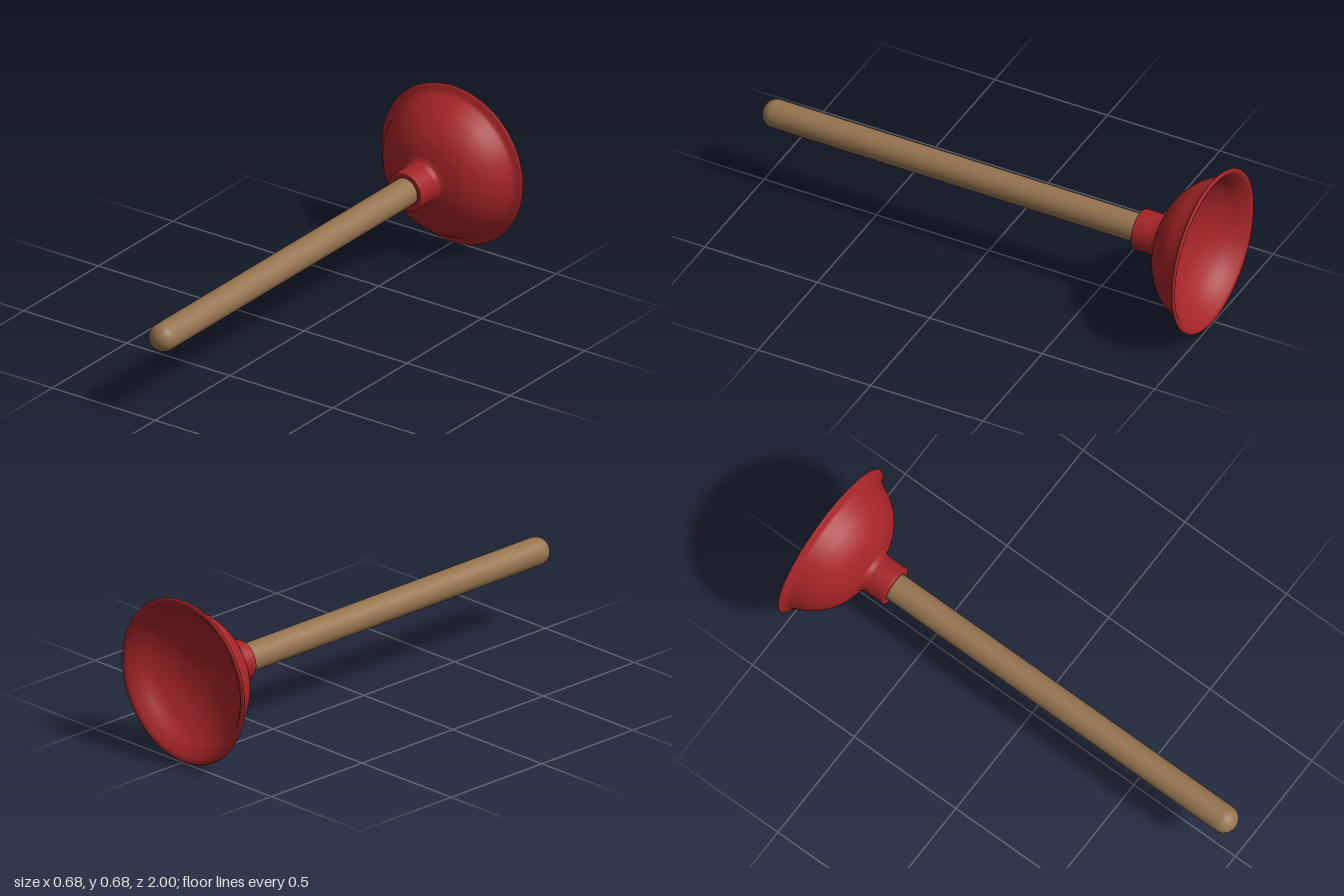
import * as THREE from 'three';

const AXIS_Y = 0.342; // height of the common axis

// Revolve [radius, z] points around the z axis
function revolve(name, points, material) {
  const profile = points.map(([r, z]) => new THREE.Vector2(r, z));
  const geometry = new THREE.LatheGeometry(profile, 72);
  geometry.rotateX(Math.PI / 2);
  const mesh = new THREE.Mesh(geometry, material);
  mesh.name = name;
  mesh.position.y = AXIS_Y;
  return mesh;
}

// Smooth curve through a few [radius, z] points
function smooth(points, steps) {
  const curve = new THREE.SplineCurve(points.map(([r, z]) => new THREE.Vector2(r, z)));
  return curve.getPoints(steps).map((p) => [p.x, p.y]);
}

export function createModel() {
  const rubber = new THREE.MeshStandardMaterial({ color: 0xa52427 });
  rubber.name = 'red rubber';
  const wood = new THREE.MeshStandardMaterial({ color: 0x96744f });
  wood.name = 'brown wood';

  const group = new THREE.Group();
  group.name = 'plunger';

  // Hollow cup: inside of the bowl, rounded lip
  const inside = smooth([
    [0, -0.815], [0.1, -0.835], [0.18, -0.865], [0.25, -0.915], [0.29, -0.965], [0.318, -0.993],
  ], 24);
  const lip = [[0.325, -0.998], [0.333, -1], [0.34, -0.998], [0.342, -0.993], [0.339, -0.988]];
  // Flared skirt and dome, then fillet into the neck
  const outside = smooth([
    [0.331, -0.985], [0.312, -0.974], [0.299, -0.952], [0.272, -0.9], [0.23, -0.852],
    [0.18, -0.817], [0.13, -0.797], [0.105, -0.79], [0.09, -0.78], [0.084, -0.762],
  ], 40);
  // Socket neck with a bore for the handle
  const neck = [
    [0.084, -0.755], [0.084, -0.68], [0.084, -0.677], [0.082, -0.673], [0.079, -0.672],
    [0.064, -0.672], [0.061, -0.673], [0.06, -0.676], [0.06, -0.68], [0.06, -0.77],
  ];
  group.add(revolve('cup', [...inside, ...lip, ...outside, ...neck], rubber));

  // Handle with a rounded grip end
  const R = 0.058;
  const handle = [[0, -0.78], [R, -0.78], [R, -0.775], [R, 0.2], [R, 0.94]];
  for (let i = 1; i <= 12; i++) {
    const a = (i / 12) * Math.PI / 2;
    handle.push([i === 12 ? 0 : R * Math.cos(a), 0.945 + 0.055 * Math.sin(a)]);
  }
  group.add(revolve('handle', handle, wood));

  return group;
}
